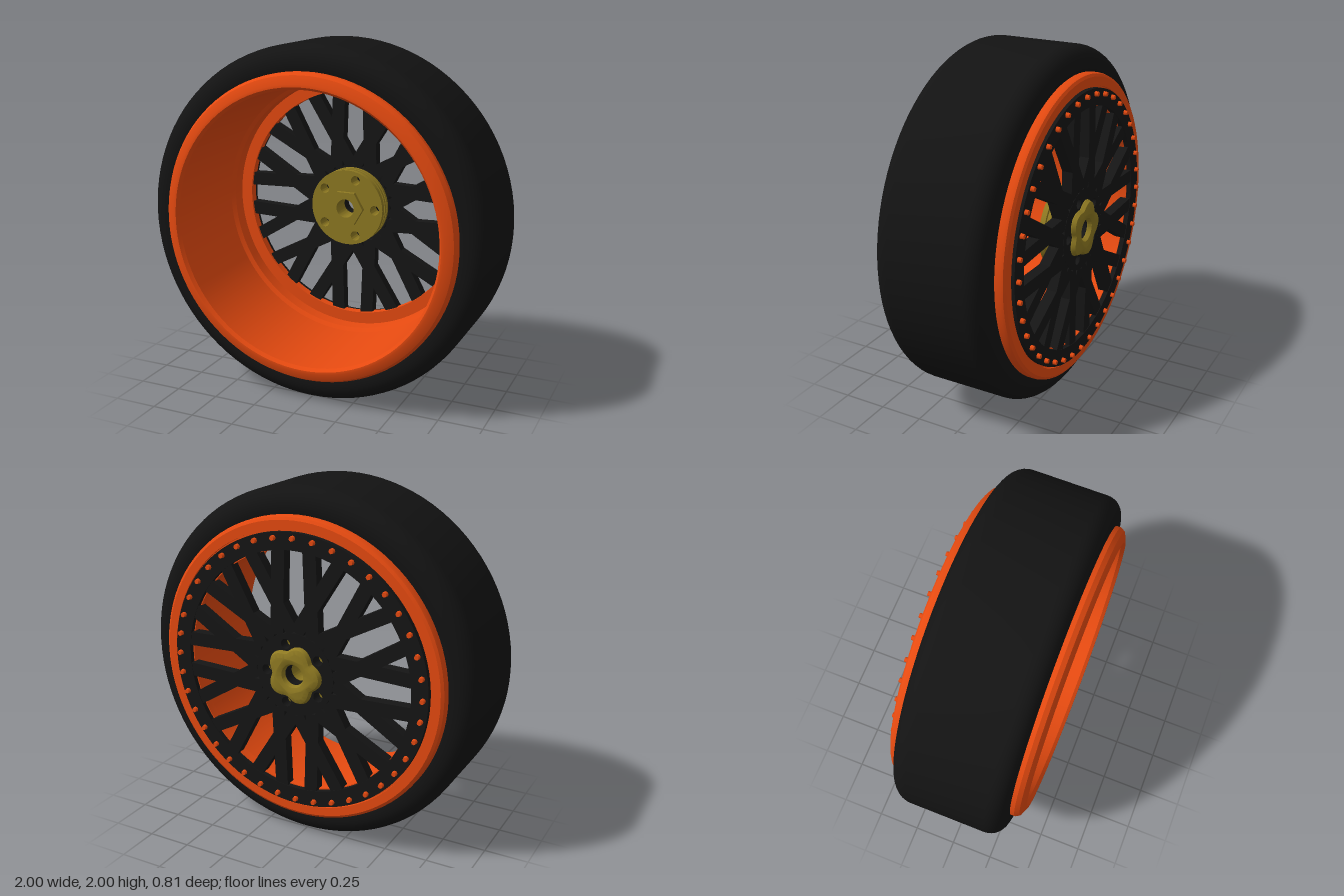
import * as THREE from 'three';
import { toCreasedNormals } from 'three/addons/utils/BufferGeometryUtils.js';

const mat = (color) => new THREE.MeshStandardMaterial({ color });

export function createModel() {
  const model = new THREE.Group();
  const wheel = new THREE.Group();
  wheel.name = 'wheel';
  wheel.position.y = 1;
  model.add(wheel);

  const rubber = mat(0x131313), black = mat(0x151515);
  const orange = mat(0xe64a10), gold = mat(0x8f7a22);

  const add = (name, geometry, material, parent = wheel) => {
    const mesh = new THREE.Mesh(geometry, material);
    mesh.name = name;
    parent.add(mesh);
    return mesh;
  };
  const group = (name) => {
    const g = new THREE.Group();
    g.name = name;
    wheel.add(g);
    return g;
  };
  // Closed [radius, z] profile turned around the axle
  const turned = (profile, crease = 0.5) => {
    const points = profile.map(([r, z]) => new THREE.Vector2(r, z));
    const g = new THREE.LatheGeometry(points, 96).rotateX(Math.PI / 2);
    return toCreasedNormals(g, crease);
  };
  const circle = (r, x = 0, y = 0) => new THREE.Path().absarc(x, y, r, 0, Math.PI * 2, true);
  // Flat plate between two z values, with optional bevel
  const plate = (shape, z0, z1) => new THREE.ExtrudeGeometry(shape,
    { depth: z1 - z0, bevelEnabled: false, curveSegments: 32 }).translate(0, 0, z0);
  const disc = (r, bore) => {
    const s = new THREE.Shape().absarc(0, 0, r, 0, Math.PI * 2, false);
    s.holes.push(circle(bore));
    return s;
  };
  const drilledDisc = (r) => {
    const s = disc(r, 0.055);
    for (let i = 0; i < 5; i++) {
      const a = i * Math.PI * 0.4;
      s.holes.push(circle(0.028, 0.176 * Math.cos(a), 0.176 * Math.sin(a)));
    }
    return s;
  };

  // Tyre with rounded shoulders
  const tyre = [[0.82, -0.29], [0.86, -0.31]];
  for (let i = 0; i <= 8; i++) {
    const a = (i / 8) * Math.PI / 2;
    tyre.push([0.9 + 0.1 * Math.sin(a), -0.21 - 0.1 * Math.cos(a)]);
  }
  for (let i = 0; i <= 8; i++) {
    const a = (i / 8) * Math.PI / 2;
    tyre.push([0.9 + 0.1 * Math.cos(a), 0.23 + 0.1 * Math.sin(a)]);
  }
  tyre.push([0.86, 0.33], [0.82, 0.31], [0.82, -0.29]);
  add('tyre', turned(tyre, 0.7), rubber);

  // Deep rim barrel with front lip, inner step and mounting flange
  add('rim', turned([
    [0.84, -0.365], [0.855, -0.355], [0.86, -0.34], [0.86, -0.3], [0.83, -0.27],
    [0.83, 0.29], [0.86, 0.32], [0.86, 0.355], [0.845, 0.38], [0.8, 0.4],
    [0.785, 0.4], [0.77, 0.38], [0.77, -0.2], [0.75, -0.22], [0.75, -0.3],
    [0.68, -0.3], [0.68, -0.35], [0.79, -0.35], [0.79, -0.365], [0.84, -0.365],
  ]), orange);

  // Spoke ring, bolted to the flange
  add('spokeRing', turned([
    [0.78, -0.378], [0.78, -0.345], [0.685, -0.345], [0.685, -0.378], [0.78, -0.378],
  ]), black);
  const bolts = group('rimBolts');
  const boltGeometry = new THREE.CylinderGeometry(0.016, 0.013, 0.025, 8).rotateX(Math.PI / 2);
  for (let i = 0; i < 40; i++) {
    const a = i * Math.PI / 20;
    add('rimBolt', boltGeometry, orange, bolts)
      .position.set(0.75 * Math.cos(a), 0.75 * Math.sin(a), -0.3855);
  }

  // Crossing mesh spokes: twelve mirrored pairs
  const spokes = group('spokes');
  const outer = new THREE.Vector2(0.27, 0.652);
  const inner = new THREE.Vector2(0.011, 0.237);
  const length = outer.distanceTo(inner);
  const spokeGeometry = new THREE.BoxGeometry(0.078, length, 0.06);
  for (let i = 0; i < 12; i++) {
    for (const side of [1, -1]) {
      const pivot = new THREE.Group();
      pivot.name = 'spokeArm';
      pivot.rotation.z = i * Math.PI / 6;
      spokes.add(pivot);
      const spoke = add('spoke', spokeGeometry, black, pivot);
      spoke.position.set(side * (outer.x + inner.x) / 2, (outer.y + inner.y) / 2, -0.345);
      spoke.rotation.z = -side * Math.atan2(outer.x - inner.x, outer.y - inner.y);
    }
  }
  add('spokeCentre', plate(drilledDisc(0.235), -0.376, -0.314), black);

  // Grooved hub with lug holes
  const hub = group('hub');
  for (const [r, z0, z1] of [[0.225, -0.25, -0.22], [0.208, -0.262, -0.25],
    [0.225, -0.28, -0.262], [0.208, -0.292, -0.28], [0.225, -0.314, -0.292]]) {
    add('hubPlate', toCreasedNormals(plate(drilledDisc(r), z0, z1), 0.5), gold, hub);
  }

  // Raised hexagon on the hub's inboard face
  const hex = new THREE.Shape();
  for (let i = 0; i < 6; i++) {
    const a = i * Math.PI / 3;
    hex[i ? 'lineTo' : 'moveTo'](0.11 * Math.cos(a), 0.11 * Math.sin(a));
  }
  hex.closePath();
  hex.holes.push(circle(0.055));
  add('hubHexagon', plate(hex, -0.22, -0.195), gold, hub);

  // Five-lobed centre nut with sloping sides and a stepped bore
  const starPoints = [];
  for (let i = 0; i < 80; i++) {
    const a = i * Math.PI / 40;
    const r = 0.119 - 0.016 * Math.cos(5 * a);
    starPoints.push(new THREE.Vector2(r * Math.cos(a), r * Math.sin(a)));
  }
  const star = new THREE.Shape(starPoints);
  star.holes.push(circle(0.09));
  const nut = new THREE.ExtrudeGeometry(star, {
    depth: 0.02, bevelThickness: 0.03, bevelSize: 0.032, bevelSegments: 2, curveSegments: 32,
  }).translate(0, 0, -0.38);
  add('centreNut', toCreasedNormals(nut, 0.4), gold);

  return model;
}
